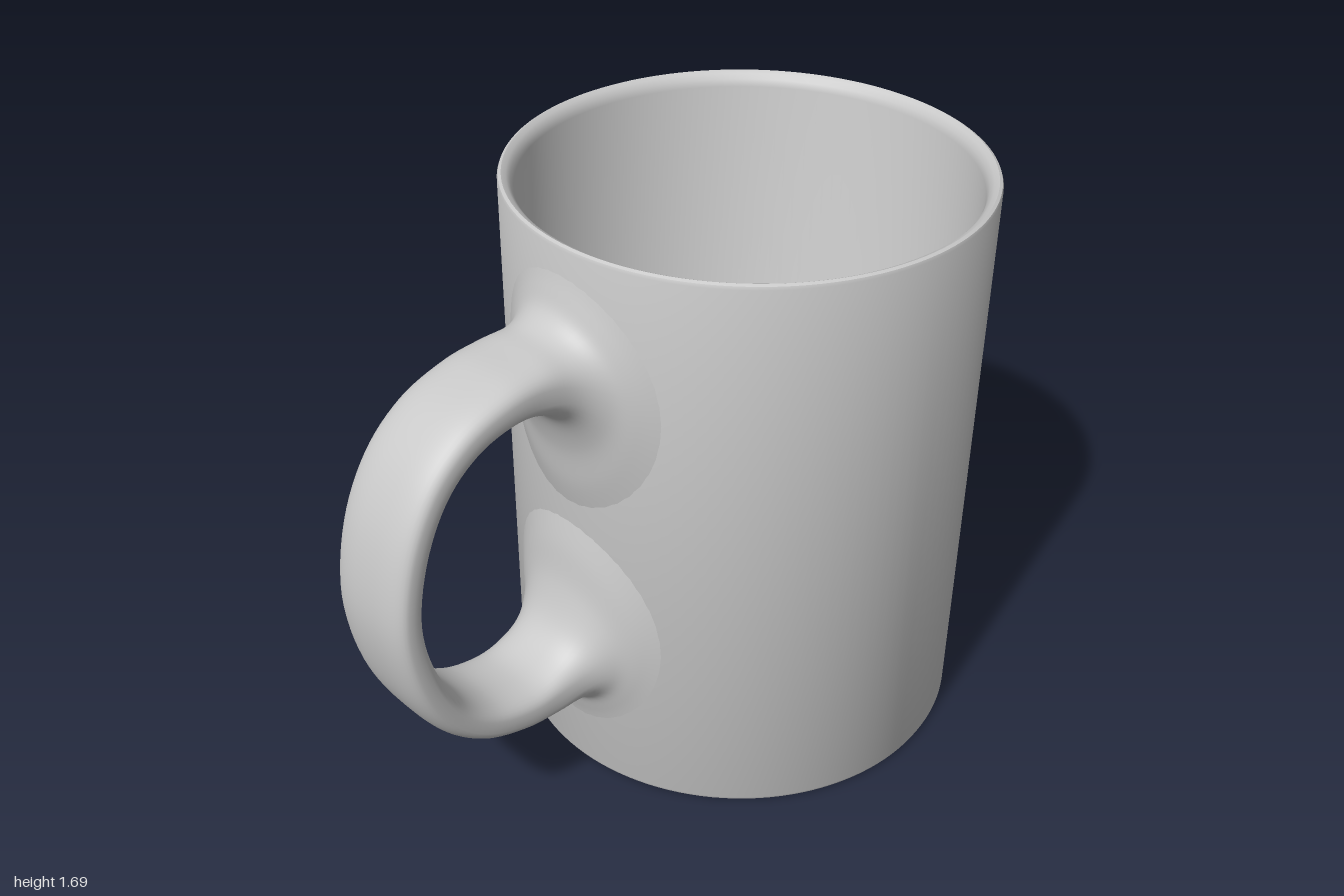
import * as THREE from 'three';
import { toCreasedNormals } from 'three/addons/utils/BufferGeometryUtils.js';

const R = 0.667; // outer radius of the cup
const CENTER_Z = -0.333;
const MID_Y = 0.89; // handle is mirrored about this height

// Cup: one revolved wall with a sloped rim and a flat floor
function cupGeometry() {
  const profile = [
    [0, 0], [0.655, 0], [0.663, 0.003], [R, 0.012],
    [R, 1.678], [0.664, 1.686], [0.656, 1.69],
    [0.643, 1.683], [0.632, 1.67], [0.625, 1.65],
    [0.625, 0.08], [0.615, 0.06], [0, 0.06],
  ].map(([x, y]) => new THREE.Vector2(x, y));
  return toCreasedNormals(new THREE.LatheGeometry(profile, 128), 0.7);
}

// Handle: rounded sections lofted from wall to wall, flaring into the cup
function handleGeometry() {
  // outer z, outer y, inner z, inner y, half width (upper half, wall to apex)
  const upper = [
    [0.325, 1.64, 0.325, 0.89, 0.32],
    [0.345, 1.57, 0.352, 1.00, 0.25],
    [0.37, 1.51, 0.375, 1.13, 0.195],
    [0.42, 1.475, 0.42, 1.24, 0.157],
    [0.50, 1.463, 0.49, 1.30, 0.142],
    [0.62, 1.445, 0.58, 1.32, 0.14],
    [0.76, 1.39, 0.70, 1.29, 0.14],
    [0.88, 1.28, 0.80, 1.205, 0.14],
    [0.965, 1.11, 0.87, 1.06, 0.14],
    [1.0, 0.89, 0.90, 0.89, 0.14],
  ];
  const lower = upper.slice(0, -1).reverse()
    .map(([oz, oy, iz, iy, w]) => [oz, 2 * MID_Y - oy, iz, 2 * MID_Y - iy, w]);
  const rows = [...upper, ...lower];
  const curve = (f) => new THREE.CatmullRomCurve3(rows.map(f), false, 'catmullrom');
  const outer = curve(([oz, oy, , , w]) => new THREE.Vector3(w, oy, oz));
  const inner = curve(([, , iz, iy, w]) => new THREE.Vector3(w, iy, iz));

  const steps = 108, sides = 40;
  const positions = [], index = [];
  const power = (v, e) => Math.sign(v) * Math.pow(Math.abs(v), e);
  for (let i = 0; i <= steps; i++) {
    const o = outer.getPoint(i / steps), n = inner.getPoint(i / steps);
    // near the wall, sections are oval and follow the curve of the cup
    const blend = 1 - THREE.MathUtils.smoothstep((o.z + n.z) / 2, 0.33, 0.52);
    const e = THREE.MathUtils.lerp(0.68, 1, blend);
    for (let j = 0; j < sides; j++) {
      const a = (j / sides) * Math.PI * 2;
      const c = power(Math.cos(a), e);
      const x = o.x * power(Math.sin(a), e);
      const wrap = Math.sqrt(R * R - x * x) - R;
      positions.push(
        x,
        (o.y + n.y) / 2 + c * (o.y - n.y) / 2,
        (o.z + n.z) / 2 + c * (o.z - n.z) / 2 + wrap * blend,
      );
      if (i < steps) {
        const p = i * sides + j, q = i * sides + (j + 1) % sides;
        index.push(p, p + sides, q, q, p + sides, q + sides);
      }
    }
  }
  const geometry = new THREE.BufferGeometry();
  geometry.setAttribute('position', new THREE.Float32BufferAttribute(positions, 3));
  geometry.setIndex(index);
  geometry.computeVertexNormals();
  return geometry;
}

export function createModel() {
  const ceramic = new THREE.MeshStandardMaterial({ color: 0xc8c8c8 });
  ceramic.name = 'grey ceramic';

  const cup = new THREE.Mesh(cupGeometry(), ceramic);
  cup.name = 'cup';
  cup.position.z = CENTER_Z;

  const handle = new THREE.Mesh(handleGeometry(), ceramic);
  handle.name = 'handle';

  const mug = new THREE.Group();
  mug.name = 'mug';
  mug.add(cup, handle);
  return mug;
}
